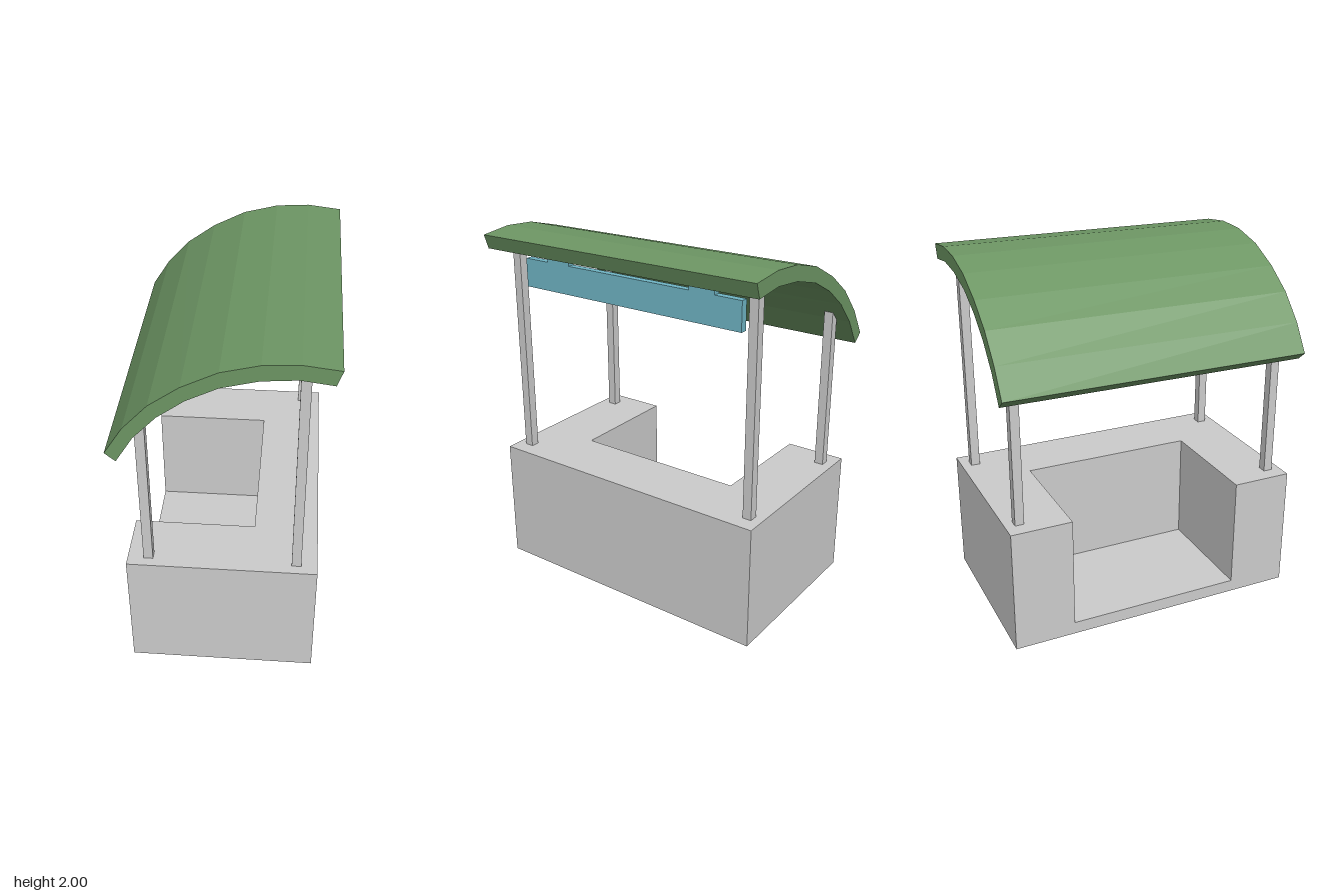
import * as THREE from 'three';

const mat = (color) => new THREE.MeshStandardMaterial({ color, flatShading: true });
const grey = mat(0xcccccc);
const green = mat(0x6d9664);
const blue = mat(0x70b5c5);

function toShape(points) {
  return new THREE.Shape(points.map(([x, y]) => new THREE.Vector2(x, y)));
}

function add(parent, name, geometry, material, x = 0, y = 0, z = 0) {
  const mesh = new THREE.Mesh(geometry, material);
  mesh.name = name;
  mesh.position.set(x, y, z);
  parent.add(mesh);
  return mesh;
}

function makeCounter() {
  // U-shaped plan, open towards -x
  const plan = toShape([
    [-0.5, -0.835], [0.5, -0.835], [0.5, 0.835], [-0.5, 0.835],
    [-0.5, 0.495], [0.155, 0.495], [0.155, -0.495], [-0.5, -0.495],
  ]);
  const geometry = new THREE.ExtrudeGeometry(plan, { depth: 0.7, bevelEnabled: false });
  return geometry.rotateX(-Math.PI / 2);
}

function makeRoof() {
  // Curved slab section: outer arc, then inner arc back
  const outer = [
    [-0.555, 1.45], [-0.46, 1.599], [-0.332, 1.737], [-0.178, 1.847],
    [0, 1.936], [0.188, 1.984], [0.368, 1.995], [0.55, 1.974],
  ];
  const inner = [
    [-0.501, 1.404], [-0.412, 1.547], [-0.294, 1.673], [-0.157, 1.774],
    [0, 1.853], [0.183, 1.901], [0.358, 1.916], [0.523, 1.895],
  ];
  const section = toShape([...outer, ...inner.reverse()]);
  const geometry = new THREE.ExtrudeGeometry(section, { depth: 1.71, bevelEnabled: false });
  geometry.translate(0, 0, -0.855);

  // Slight hand-built skew: lower, narrower front and shifted ends
  const p = geometry.attributes.position;
  for (let i = 0; i < p.count; i++) {
    const x = p.getX(i), y = p.getY(i), z = p.getZ(i);
    p.setXYZ(i, x * (1 - 0.005 * z), y - 0.005 * z, z + 0.01 * x);
  }
  geometry.computeVertexNormals();
  return geometry;
}

export function createModel() {
  const model = new THREE.Group();
  model.name = 'marketStall';

  // Counter with the standing floor inside its opening
  add(model, 'counter', makeCounter(), grey);
  add(model, 'floor', new THREE.BoxGeometry(0.655, 0.07, 0.99), grey, -0.1725, 0.035, 0);

  // Four posts: short under the low eave, tall under the high one
  const posts = new THREE.Group();
  posts.name = 'posts';
  model.add(posts);
  for (const [x, top] of [[-0.39, 1.6], [0.39, 1.925]]) {
    for (const z of [-0.757, 0.757]) {
      const height = top - 0.7;
      add(posts, 'post', new THREE.BoxGeometry(0.05, height, 0.05), grey, x, 0.7 + height / 2, z);
    }
  }

  add(model, 'roof', makeRoof(), green);

  // Hanging sign board with two hangers
  const sign = new THREE.Group();
  sign.name = 'sign';
  model.add(sign);
  add(sign, 'signBoard', new THREE.BoxGeometry(0.04, 0.158, 1.38), blue, 0.39, 1.76, 0);
  for (const z of [-0.46, 0.46]) {
    add(sign, 'signHanger', new THREE.BoxGeometry(0.04, 0.085, 0.15), blue, 0.39, 1.88, z);
  }

  return model;
}
